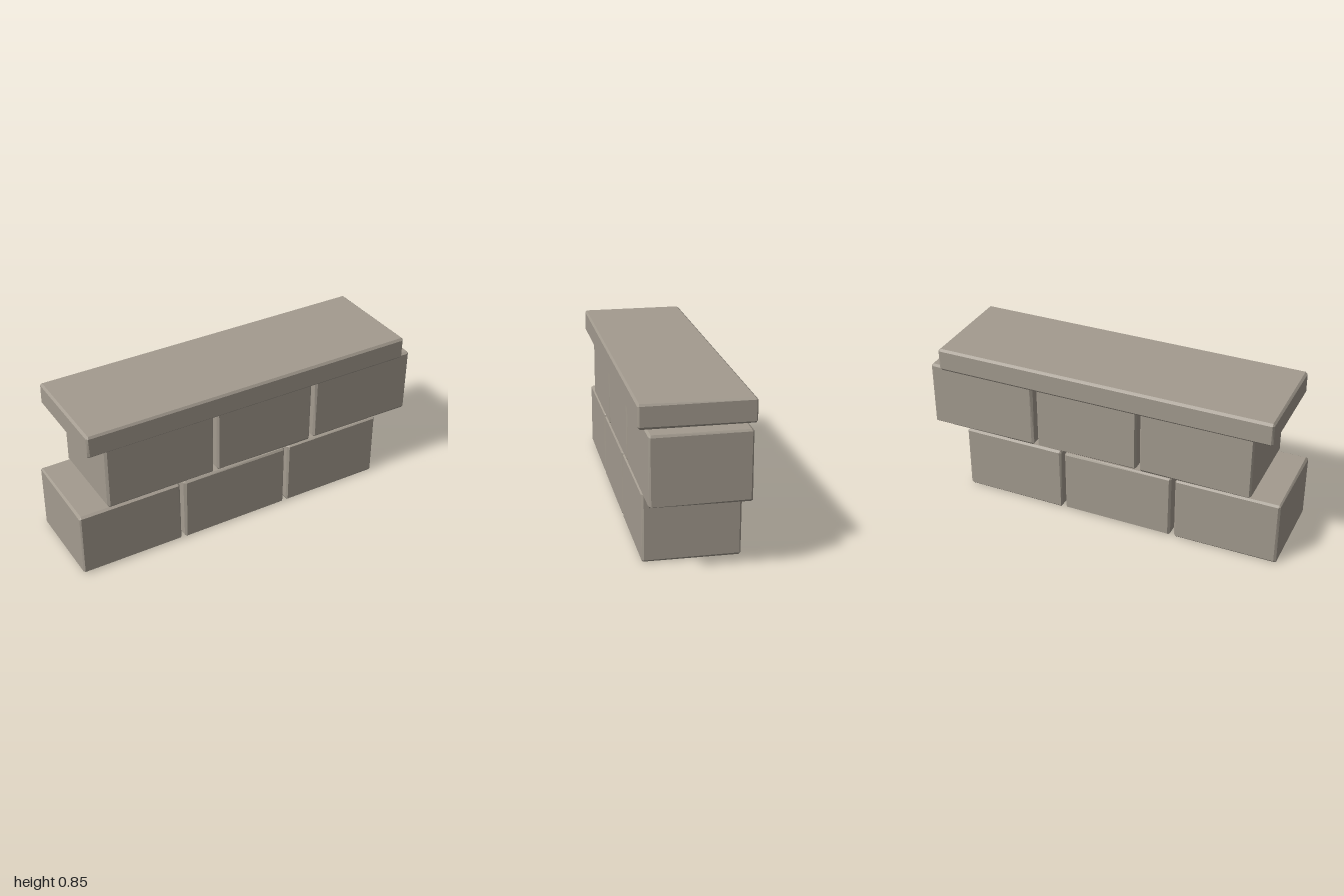
import * as THREE from 'three';
import { ConvexGeometry } from 'three/addons/geometries/ConvexGeometry.js';

// Small seeded generator for the uneven, hand-cut edges
function seeded(seed) {
  let s = seed;
  return () => (s = (s * 16807) % 2147483647) / 2147483647;
}

// Box with chamfered edges; each corner has one point on each of its three faces
function chiselledBlock(min, max, random) {
  const points = [];
  for (let corner = 0; corner < 8; corner++) {
    for (let face = 0; face < 3; face++) {
      const p = [0, 1, 2].map((axis) => {
        const inset = axis === face ? 0 : 0.007 + 0.007 * random();
        return (corner >> axis) & 1 ? max[axis] - inset : min[axis] + inset;
      });
      points.push(new THREE.Vector3(...p));
    }
  }
  return new ConvexGeometry(points);
}

export function createModel() {
  const model = new THREE.Group();
  model.name = 'stoneWall';
  const stone = new THREE.MeshStandardMaterial({ color: 0xa39b8f });
  stone.name = 'warm grey stone';
  const random = seeded(41);

  const add = (name, min, max, parent) => {
    const mesh = new THREE.Mesh(chiselledBlock(min, max, random), stone);
    mesh.name = name;
    parent.add(mesh);
  };

  // Two staggered courses of three blocks
  const courses = [
    { name: 'lowerCourse', y: [0, 0.361], spans: [[-1, -0.432], [-0.41, 0.204], [0.224, 0.797]] },
    { name: 'upperCourse', y: [0.364, 0.724], spans: [[-0.842, -0.232], [-0.211, 0.363], [0.385, 0.996]] },
  ];
  for (const { name, y, spans } of courses) {
    const course = new THREE.Group();
    course.name = name;
    spans.forEach(([x0, x1], i) => {
      add(`${name}Block${i + 1}`, [x0, y[0], -0.249], [x1, y[1], 0.25], course);
    });
    model.add(course);
  }

  // Overhanging capstone
  add('capstone', [-0.945, 0.725, -0.285], [0.92, 0.85, 0.286], model);
  return model;
}
